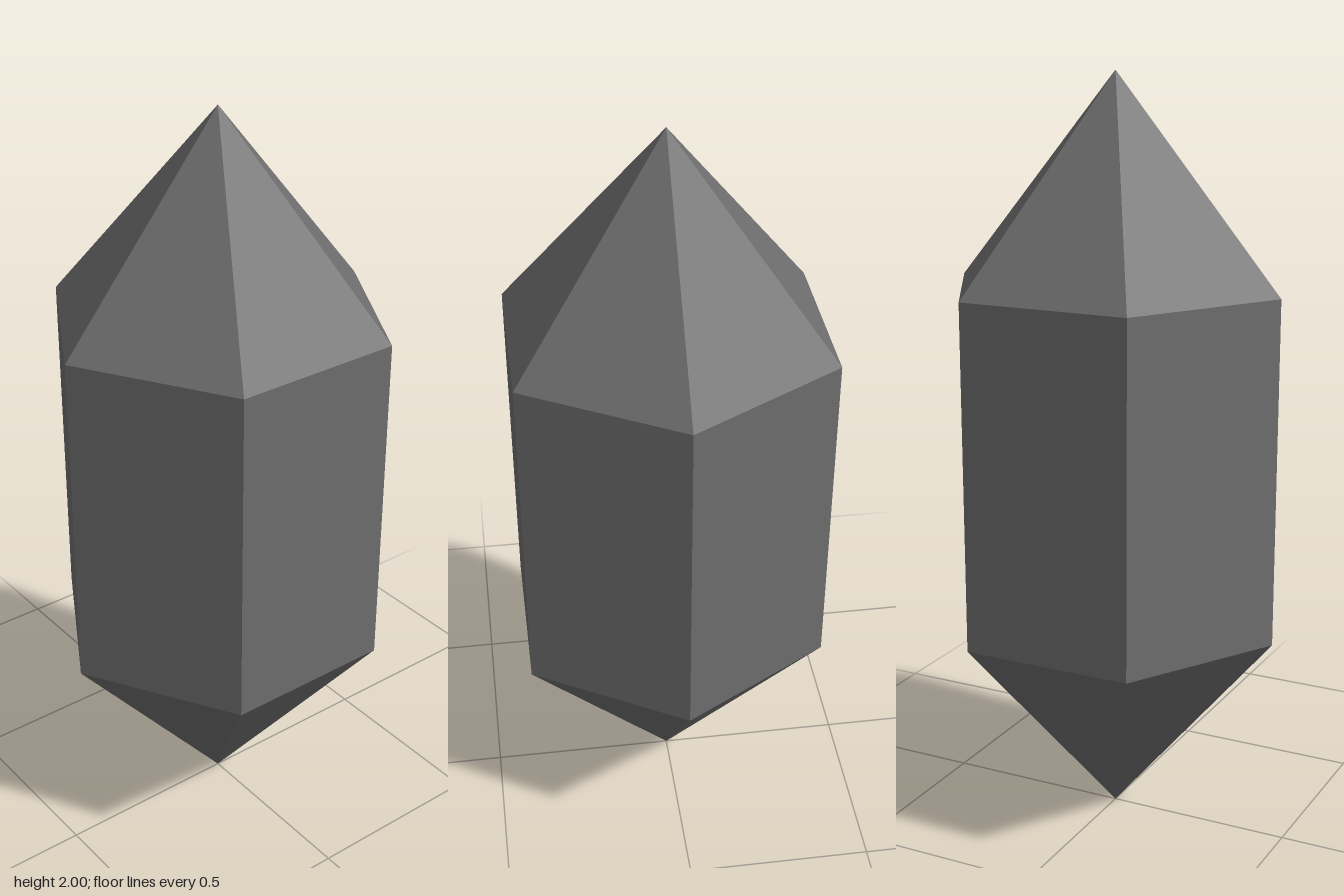
import * as THREE from 'three';

const SIDES = 6;
const RADIUS = 0.457;
const LOWER = 0.545; // height of the lower shoulder
const UPPER = 1.457; // height of the upper shoulder
const TOP = 2;

export function createModel() {
  const model = new THREE.Group();
  model.name = 'crystal';
  const material = new THREE.MeshStandardMaterial({ color: 0x6e6e6e, flatShading: true });

  // Open six-sided section between two heights, with corners on the x axis
  function section(name, bottomRadius, topRadius, y0, y1) {
    const geometry = new THREE.CylinderGeometry(
      topRadius, bottomRadius, y1 - y0, SIDES, 1, true, Math.PI / SIDES);
    geometry.translate(0, (y0 + y1) / 2, 0);
    const mesh = new THREE.Mesh(geometry, material);
    mesh.name = name;
    model.add(mesh);
  }

  section('lowerPoint', 0, RADIUS, 0, LOWER);
  section('prismBody', RADIUS, RADIUS, LOWER, UPPER);
  section('upperPoint', RADIUS, 0, UPPER, TOP);

  return model;
}
